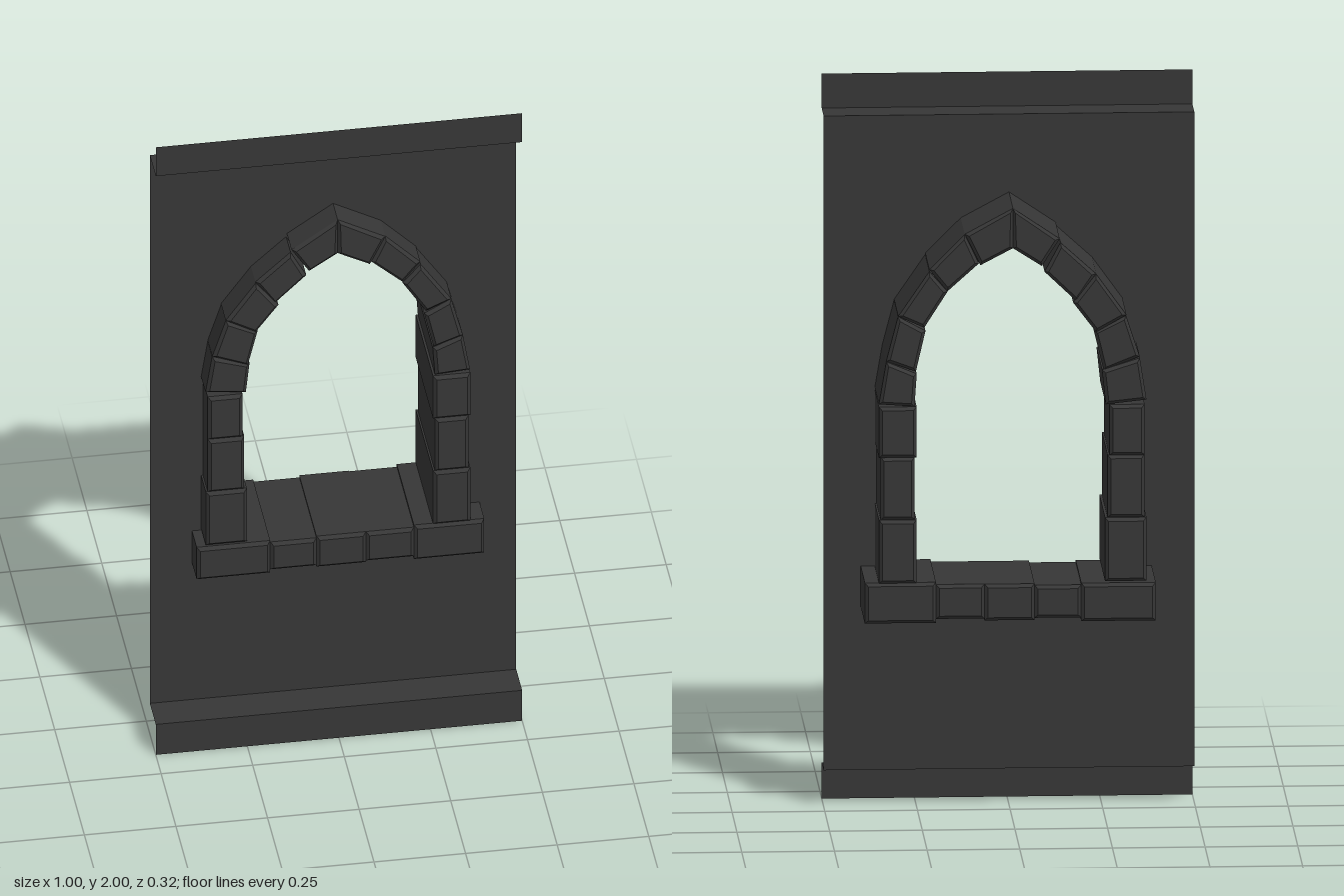
import * as THREE from 'three';

const stoneMat = new THREE.MeshStandardMaterial({ color: 0x363636 });
stoneMat.name = 'darkStone';
const wallMat = new THREE.MeshStandardMaterial({ color: 0x363636, side: THREE.DoubleSide });
wallMat.name = 'darkWall';

const WALL_Z = 0.06, BAND_Z = 0.16, BAND_H = 0.1;
const BEVEL = 0.009;

// Bevelled block from four front corners (counter-clockwise), running through the wall
function block(name, corners, back = -0.158, front = 0.147) {
  const shape = new THREE.Shape(corners.map(([x, y]) => new THREE.Vector2(x, y)));
  const geo = new THREE.ExtrudeGeometry(shape, {
    depth: front - back - 2 * BEVEL, bevelEnabled: true, bevelSegments: 1,
    bevelSize: BEVEL, bevelThickness: BEVEL, bevelOffset: -BEVEL,
  });
  geo.translate(0, 0, back + BEVEL);
  const mesh = new THREE.Mesh(geo, stoneMat);
  mesh.name = name;
  return mesh;
}

const rect = (x0, x1, y0, y1) => [[x0, y0], [x1, y0], [x1, y1], [x0, y1]];

// Thin wall sheet with a pointed opening
function wallPanel() {
  const shape = new THREE.Shape(rect(-0.5, 0.5, BAND_H, 1.905).map(p => new THREE.Vector2(...p)));
  const half = [[0.31, 0.6], [0.31, 1.14], [0.295, 1.26], [0.25, 1.39], [0.185, 1.5], [0.105, 1.58]];
  const outline = [...half, [0, 1.64], ...half.map(([x, y]) => [-x, y]).reverse()];
  shape.holes.push(new THREE.Path(outline.map(p => new THREE.Vector2(...p))));
  const mesh = new THREE.Mesh(new THREE.ShapeGeometry(shape), wallMat);
  mesh.position.z = WALL_Z;
  mesh.name = 'wallPanel';
  return mesh;
}

// Raised band: an upright face and the ledge joining it to the wall
function band(name, y0, y1, ledgeY, ledgeTurn) {
  const g = new THREE.Group();
  g.name = name;
  const face = new THREE.Mesh(new THREE.PlaneGeometry(1, y1 - y0), wallMat);
  face.position.set(0, (y0 + y1) / 2, BAND_Z);
  face.name = name + 'Face';
  const ledge = new THREE.Mesh(new THREE.PlaneGeometry(1, BAND_Z - WALL_Z), wallMat);
  ledge.rotation.x = ledgeTurn;
  ledge.position.set(0, ledgeY, (WALL_Z + BAND_Z) / 2);
  ledge.name = name + 'Ledge';
  g.add(face, ledge);
  return g;
}

export function createModel() {
  const model = new THREE.Group();
  model.name = 'windowWall';
  model.add(wallPanel());
  model.add(band('baseBand', 0, BAND_H, BAND_H, -Math.PI / 2));
  model.add(band('topBand', 1.905, 2, 1.905, Math.PI / 2));

  // Sill stones
  [
    [-0.385, -0.184, 0.55, 0.655], [-0.184, -0.058, 0.56, 0.65], [-0.058, 0.077, 0.555, 0.655],
    [0.077, 0.208, 0.56, 0.655], [0.208, 0.4, 0.55, 0.662],
  ].forEach((r, i) => model.add(block('sillStone' + (i + 1), rect(...r), -0.16 + (i % 2) * 0.003)));

  // Upright side stones
  const jambs = {
    right: [[-0.36, -0.248, 0.66, 0.835], [-0.355, -0.255, 0.835, 1.007], [-0.355, -0.26, 1.007, 1.147]],
    left: [[0.26, 0.362, 0.66, 0.835], [0.265, 0.357, 0.835, 1.007], [0.26, 0.362, 1.007, 1.147]],
  };
  for (const [side, stones] of Object.entries(jambs)) {
    stones.forEach((r, i) => model.add(block(`${side}JambStone${i + 1}`, rect(...r), i === 1 ? -0.156 : -0.161)));
  }

  // Arch stones: outer lower, inner lower, inner upper, outer upper
  const arch = {
    right: [
      [[-0.36, 1.16], [-0.25, 1.148], [-0.24, 1.243], [-0.342, 1.275]],
      [[-0.342, 1.278], [-0.245, 1.24], [-0.218, 1.35], [-0.305, 1.392]],
      [[-0.306, 1.394], [-0.224, 1.348], [-0.162, 1.43], [-0.224, 1.508]],
      [[-0.224, 1.508], [-0.172, 1.432], [-0.085, 1.515], [-0.128, 1.595]],
      [[-0.126, 1.605], [-0.078, 1.53], [0, 1.58], [0, 1.69]],
    ],
    left: [
      [[0.362, 1.155], [0.266, 1.148], [0.26, 1.238], [0.342, 1.272]],
      [[0.342, 1.272], [0.262, 1.243], [0.236, 1.355], [0.31, 1.395]],
      [[0.31, 1.397], [0.24, 1.365], [0.177, 1.464], [0.226, 1.52]],
      [[0.226, 1.524], [0.177, 1.464], [0.092, 1.54], [0.13, 1.62]],
      [[0.13, 1.62], [0.088, 1.534], [0, 1.58], [0, 1.69]],
    ],
  };
  const backs = [-0.163, -0.157, -0.164, -0.16, -0.156];
  for (const [side, stones] of Object.entries(arch)) {
    stones.forEach((q, i) => {
      const corners = side === 'left' ? [...q].reverse() : q;
      model.add(block(`${side}ArchStone${i + 1}`, corners, backs[i], 0.143 + (i % 3) * 0.003));
    });
  }
  return model;
}
